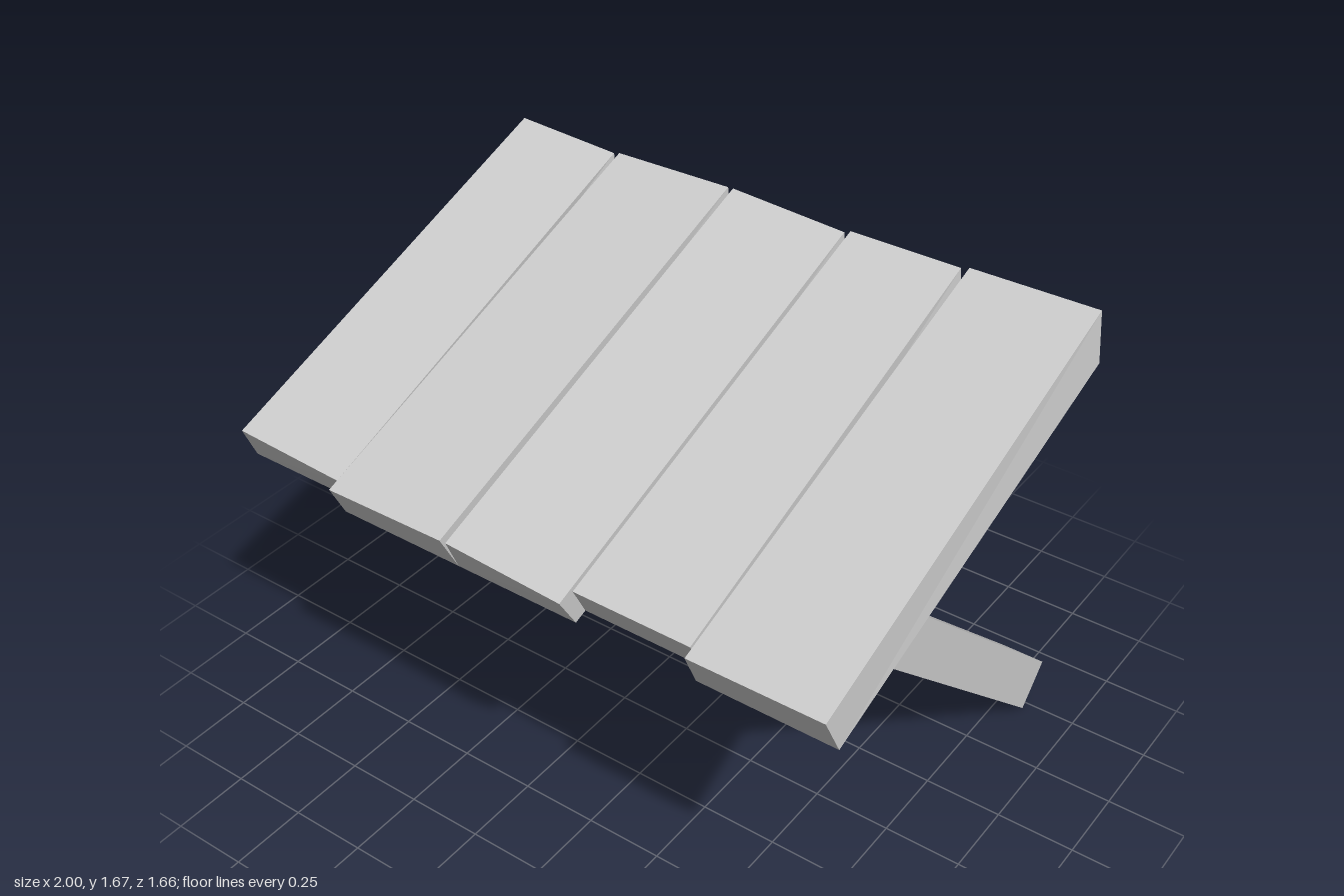
import * as THREE from 'three';

const material = new THREE.MeshStandardMaterial({
  color: 0xcccccc, flatShading: true, side: THREE.DoubleSide,
});

// Hollow four-sided beam: capped at the front ring, open at the back ring.
// Ring order: bottom right, bottom left, top left, top right.
function openBeam(name, front, back) {
  const points = [];
  for (let i = 0; i < 4; i++) {
    const j = (i + 1) % 4;
    points.push(front[i], back[i], back[j], front[i], back[j], front[j]);
  }
  points.push(front[0], front[1], front[2], front[0], front[2], front[3]);
  const geometry = new THREE.BufferGeometry();
  geometry.setAttribute('position', new THREE.Float32BufferAttribute(points.flat(), 3));
  geometry.computeVertexNormals();
  const mesh = new THREE.Mesh(geometry, material);
  mesh.name = name;
  return mesh;
}

export function createModel() {
  const group = new THREE.Group();
  group.name = 'awning';

  // Roof planks: bottom x range, top x range at front and back, heights of
  // the top's two back corners, and whether the plank is a short one
  const planks = [
    { bottom: [-1.0, -0.615], front: [-0.97, -0.605], back: [-0.98, -0.63], y: [1.67, 1.652], short: true },
    { bottom: [-0.615, -0.2], front: [-0.6, -0.2], back: [-0.61, -0.21], y: [1.658, 1.665] },
    { bottom: [-0.2, 0.2], front: [-0.18, 0.2], back: [-0.193, 0.19], y: [1.666, 1.645] },
    { bottom: [0.2, 0.58], front: [0.215, 0.58], back: [0.21, 0.565], y: [1.655, 1.655], short: true },
    { bottom: [0.58, 1.0], front: [0.59, 0.995], back: [0.59, 0.985], y: [1.664, 1.668] },
  ];
  const backZ = -0.5, slope = 0.35;
  planks.forEach((p, i) => {
    const bottomZ = p.short ? 0.725 : 0.765, bottomY = p.short ? 1.09 : 1.076;
    const topZ = p.short ? 0.79 : 0.827;
    const drop = slope * (topZ - backZ);
    group.add(openBeam(`roofPlank${i + 1}`,
      [
        [p.bottom[0], bottomY, bottomZ], [p.bottom[1], bottomY, bottomZ],
        [p.front[1], p.y[1] - drop, topZ], [p.front[0], p.y[0] - drop, topZ],
      ],
      [
        [p.bottom[0], 1.51, backZ], [p.bottom[1], 1.51, backZ],
        [p.back[1], p.y[1], backZ], [p.back[0], p.y[0], backZ],
      ]));
  });

  // Slanted support struts running down towards the wall
  for (const [name, x0, x1] of [['rightStrut', -0.97, -0.83], ['leftStrut', 0.695, 0.835]]) {
    const ring = (low, high) => [[x0, ...low], [x1, ...low], [x1, ...high], [x0, ...high]];
    group.add(openBeam(name,
      ring([1.155, 0.55], [1.213, 0.37]),
      ring([0, -0.72], [0.123, -0.83])));
  }

  return group;
}
